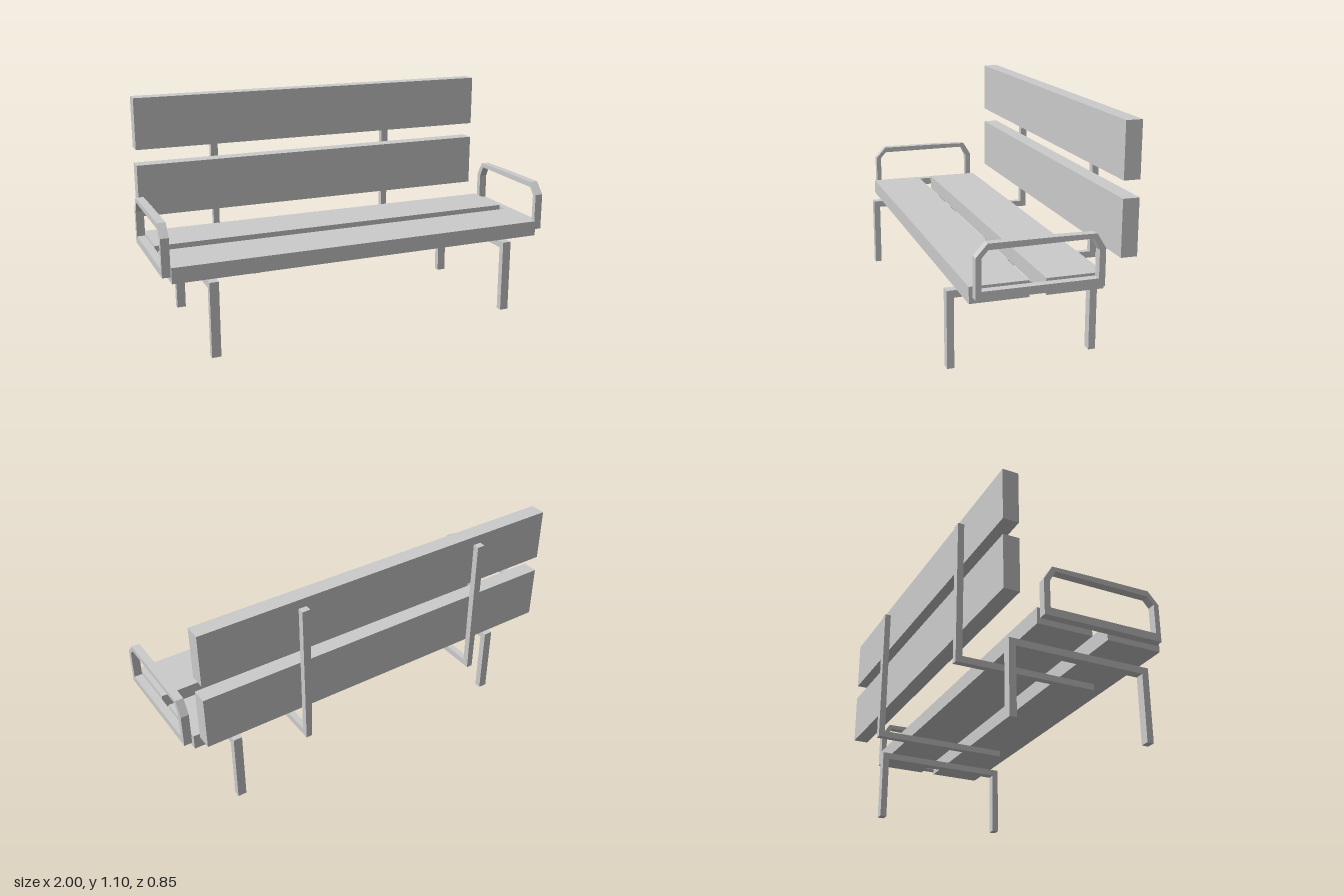
import * as THREE from 'three';

const material = new THREE.MeshStandardMaterial({ color: 0xcccccc, flatShading: true });
const toPoints = (list) => list.map(([z, y]) => new THREE.Vector2(z, y));

// Board given by its lower and upper limits on y and z
function board(name, y0, y1, z0, z1) {
  const mesh = new THREE.Mesh(new THREE.BoxGeometry(1.915, y1 - y0, z1 - z0), material);
  mesh.position.set(-0.0025, (y0 + y1) / 2, (z0 + z1) / 2);
  mesh.name = name;
  return mesh;
}

// Side profile in (z, y), extruded across x and centred on its own x = 0
function sideProfile(outline, width, hole) {
  const shape = new THREE.Shape(toPoints(outline));
  if (hole) shape.holes.push(new THREE.Path(toPoints(hole)));
  const geometry = new THREE.ExtrudeGeometry(shape, { depth: width, bevelEnabled: false });
  geometry.translate(0, 0, -width / 2);
  geometry.rotateY(-Math.PI / 2);
  return geometry;
}

function addPair(group, name, geometry, leftX, rightX) {
  for (const [side, x] of [['left', leftX], ['right', rightX]]) {
    const mesh = new THREE.Mesh(geometry, material);
    mesh.position.x = x;
    mesh.name = side + name;
    group.add(mesh);
  }
}

export function createModel() {
  const bench = new THREE.Group();
  bench.name = 'bench';

  // Seat and backrest boards
  bench.add(
    board('frontSeatBoard', 0.365, 0.441, 0.11, 0.378),
    board('rearSeatBoard', 0.365, 0.441, -0.234, 0.033),
    board('lowerBackBoard', 0.495, 0.76, -0.389, -0.311),
    board('upperBackBoard', 0.84, 1.1, -0.389, -0.311),
  );

  // Inverted U leg frames
  const legs = sideProfile([
    [0.425, 0], [0.425, 0.365], [-0.285, 0.365], [-0.285, 0],
    [-0.251, 0], [-0.251, 0.331], [0.392, 0.331], [0.392, 0],
  ], 0.044);
  addPair(bench, 'LegFrame', legs, 0.757, -0.779);

  // L-shaped backrest supports, slightly wider towards the top
  const support = sideProfile([
    [0.29, 0.331], [0.29, 0.363], [-0.389, 0.363],
    [-0.389, 1.055], [-0.421, 1.055], [-0.421, 0.331],
  ], 0.031);
  const pos = support.attributes.position;
  for (let i = 0; i < pos.count; i++) {
    const rise = Math.max(0, pos.getY(i) - 0.363) / 0.692;
    pos.setX(i, pos.getX(i) * (1 + 0.3 * rise));
  }
  support.computeVertexNormals();
  addPair(bench, 'BackSupport', support, 0.447, -0.537);

  // Closed armrest loops with chamfered upper corners
  const armrest = sideProfile([
    [0.362, 0.393], [0.362, 0.577], [0.31, 0.635], [0.01, 0.635],
    [-0.177, 0.632], [-0.219, 0.563], [-0.219, 0.393],
  ], 0.04, [
    [0.337, 0.43], [0.337, 0.573], [0.307, 0.607],
    [-0.162, 0.611], [-0.19, 0.557], [-0.19, 0.43],
  ]);
  addPair(bench, 'Armrest', armrest, 0.979, -0.98);

  return bench;
}
